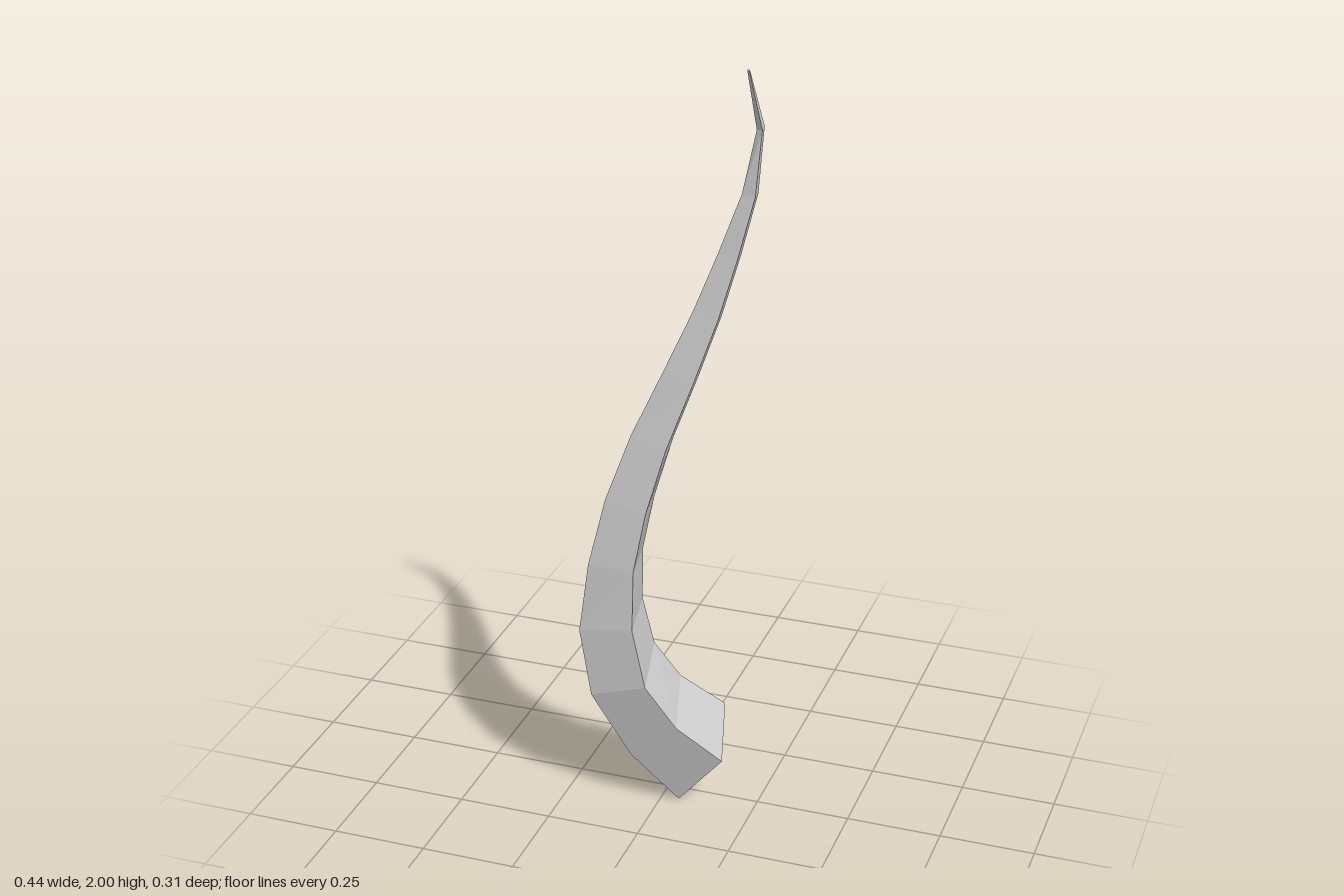
import * as THREE from 'three';

// Each section: centre, full left-to-right edge, full back-to-front edge
const sections = [
  [[0.077, 0.1, -0.05], [0.12, 0.14, 0], [0.06, -0.05, 0.21]],
  [[-0.035, 0.222, 0.006], [0.125, 0.1, -0.006], [0.055, -0.045, 0.195]],
  [[-0.112, 0.37, 0.046], [0.145, 0.04, -0.012], [0.04, -0.03, 0.187]],
  [[-0.139, 0.535, 0.059], [0.137, 0.01, -0.022], [0.03, -0.01, 0.165]],
  [[-0.125, 0.707, 0.058], [0.115, -0.015, -0.02], [0.025, 0, 0.145]],
  [[-0.089, 0.875, 0.047], [0.102, -0.035, -0.018], [0.02, 0.005, 0.125]],
  [[-0.036, 1.045, 0.027], [0.088, -0.035, -0.016], [0.015, 0.008, 0.102]],
  [[0.033, 1.22, 0.001], [0.074, -0.03, -0.014], [0.012, 0.008, 0.082]],
  [[0.093, 1.38, -0.024], [0.06, -0.025, -0.012], [0.01, 0.007, 0.067]],
  [[0.142, 1.535, -0.046], [0.047, -0.016, -0.008], [0.008, 0.005, 0.056]],
  [[0.187, 1.69, -0.063], [0.033, -0.008, -0.002], [0.006, 0.003, 0.045]],
  [[0.208, 1.855, -0.073], [0.016, 0.003, 0.006], [0.004, 0, 0.031]],
  [[0.181, 2, -0.056], [0.006, 0, 0.002], [0.002, 0, 0.01]],
];
const corners = [[-0.5, 0.5], [0.5, 0.5], [0.5, -0.5], [-0.5, -0.5]];

export function createModel() {
  const positions = [];
  const index = [];
  for (const [centre, across, deep] of sections) {
    for (const [s, t] of corners) {
      for (let k = 0; k < 3; k++) positions.push(centre[k] + across[k] * s + deep[k] * t);
    }
  }
  const quad = (a, b, c, d) => index.push(a, b, c, a, c, d);

  // Four-sided skin between neighbouring sections
  for (let i = 0; i < sections.length - 1; i++) {
    for (let j = 0; j < 4; j++) {
      const a = i * 4 + j, b = i * 4 + (j + 1) % 4;
      quad(a, b, b + 4, a + 4);
    }
  }

  // Root and tip caps
  quad(3, 2, 1, 0);
  const n = (sections.length - 1) * 4;
  quad(n, n + 1, n + 2, n + 3);

  const geometry = new THREE.BufferGeometry();
  geometry.setAttribute('position', new THREE.Float32BufferAttribute(positions, 3));
  geometry.setIndex(index);
  const faceted = geometry.toNonIndexed();
  faceted.computeVertexNormals();

  const horn = new THREE.Mesh(
    faceted,
    new THREE.MeshStandardMaterial({ color: 0xcccccc, flatShading: true })
  );
  horn.name = 'horn';
  const group = new THREE.Group();
  group.name = 'curvedHorn';
  group.add(horn);
  return group;
}
